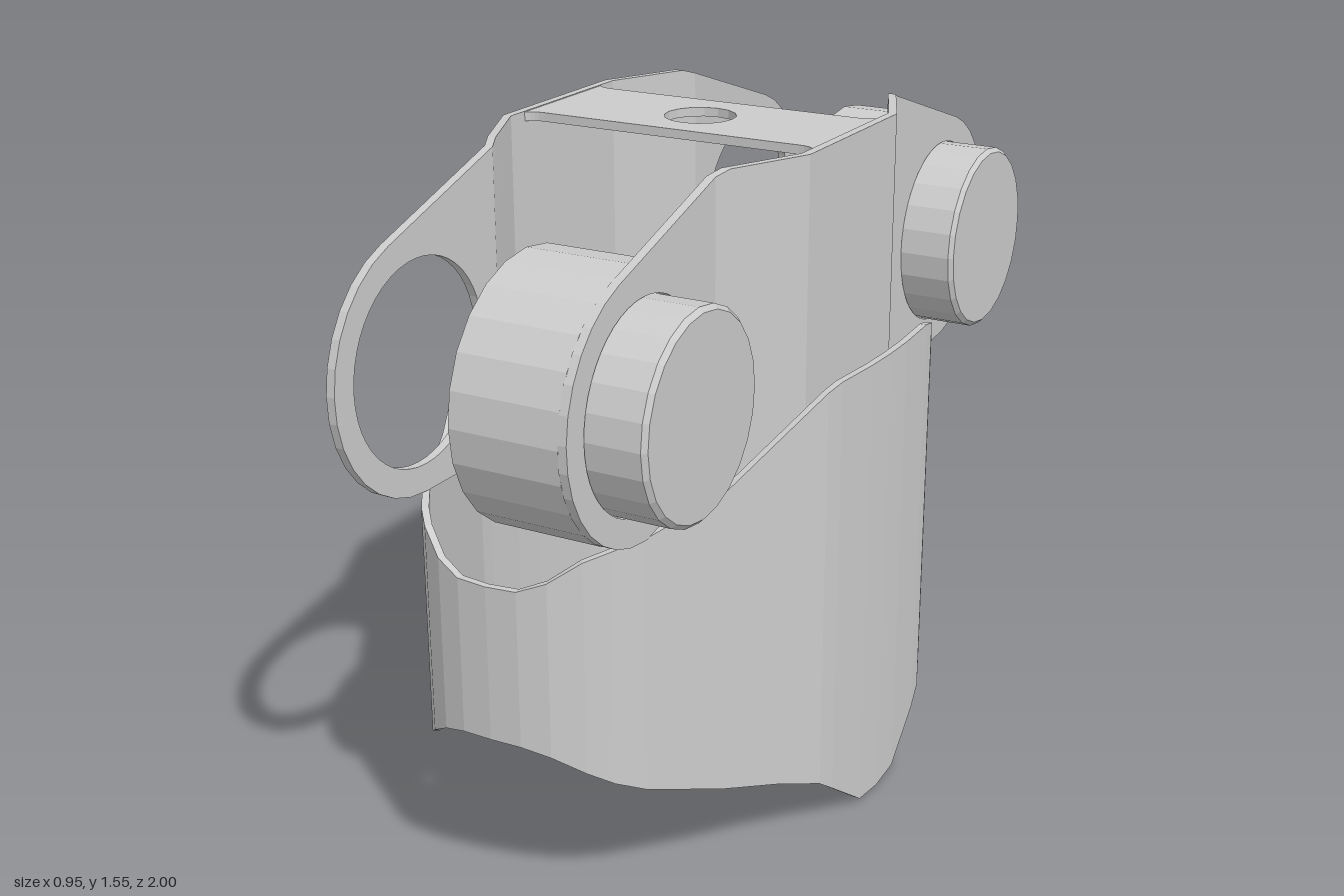
import * as THREE from 'three';

const material = new THREE.MeshStandardMaterial({ color: 0xcccccc, flatShading: true, side: THREE.DoubleSide });
const SHEET = 0.02;                                  // bracket thickness
const EAR = { z: 0.717, y: 1.148, r: 0.283, hole: 0.222 };
const FACETS = 24;

function addMesh(parent, geometry, name) {
  const mesh = new THREE.Mesh(geometry, material);
  mesh.name = name;
  parent.add(mesh);
  return mesh;
}

// Joins four-point sections (outer bottom, outer top, inner top, inner bottom) into a solid wall
function loft(sections, closed) {
  const pos = [];
  const n = sections.length;
  const quad = (a, b, c, d) => pos.push(...a, ...b, ...c, ...a, ...c, ...d);
  for (let i = 0; i < (closed ? n : n - 1); i++) {
    const s = sections[i], t = sections[(i + 1) % n];
    for (let j = 0; j < 4; j++) {
      const k = (j + 1) % 4;
      quad(s[j], t[j], t[k], s[k]);
    }
  }
  if (!closed) {
    const [a, b, c, d] = sections[0];
    quad(a, b, c, d);
    const [e, f, g, h] = sections[n - 1];
    quad(h, g, f, e);
  }
  const geometry = new THREE.BufferGeometry();
  geometry.setAttribute('position', new THREE.Float32BufferAttribute(pos, 3));
  geometry.computeVertexNormals();
  return geometry;
}

// Lower guard: a closed band whose top and bottom edges rise and fall
function guardGeometry() {
  // x, z, top, bottom for one quarter of the loop
  const quarter = [
    [0, 0.885, 0.77, 0.425], [0.07, 0.88, 0.772, 0.423], [0.13, 0.86, 0.795, 0.405],
    [0.19, 0.82, 0.838, 0.365], [0.23, 0.775, 0.853, 0.33], [0.27, 0.715, 0.865, 0.297],
    [0.348, 0.53, 0.91, 0.225], [0.41, 0.38, 1.0, 0.178], [0.455, 0.27, 1.065, 0.135],
    [0.463, 0.22, 1.075, 0.1], [0.473, 0.09, 1.075, 0.008], [0.475, 0, 1.075, 0],
  ];
  const half = [...quarter, ...quarter.slice(0, -1).reverse().map(([x, z, t, b]) => [x, -z, t, b])];
  const loop = [...half, ...half.slice(1, -1).reverse().map(([x, z, t, b]) => [-x, z, t, b])];
  const n = loop.length;
  const sections = loop.map(([x, z, top, bottom], i) => {
    const p = loop[(i + n - 1) % n], q = loop[(i + 1) % n];
    const dx = q[0] - p[0], dz = q[1] - p[1], len = Math.hypot(dx, dz);
    const ix = x + (dz / len) * 0.016, iz = z - (dx / len) * 0.016;
    return [[x, bottom, z], [x, top, z], [ix, top, iz], [ix, bottom, iz]];
  });
  return loft(sections, true);
}

// Bent middle of a bracket side
function sidePlateGeometry() {
  const half = [[0.275, 0.434, 1.539], [0.29, 0.4, 1.55], [0.375, 0.215, 1.55]];
  const path = [...half, ...half.slice().reverse().map(([x, z, t]) => [x, -z, t])];
  const low = EAR.y - EAR.r;
  return loft(path.map(([x, z, top]) => [
    [x, low, z], [x, top, z], [x - SHEET, top, z], [x - SHEET, low, z],
  ]), false);
}

// Flat ear with a round hole; end is +1 for the front, -1 for the back
function earGeometry(end) {
  const points = [new THREE.Vector2(end * 0.434, EAR.y - EAR.r)];
  const from = -Math.PI / 2, to = 1.255;
  for (let i = 0; i <= 14; i++) {
    const a = from + ((to - from) * i) / 14;
    points.push(new THREE.Vector2(end * (EAR.z + EAR.r * Math.cos(a)), EAR.y + EAR.r * Math.sin(a)));
  }
  points.push(new THREE.Vector2(end * 0.434, 1.539));
  const shape = new THREE.Shape(points);
  const hole = new THREE.Path();
  hole.absarc(end * EAR.z, EAR.y, EAR.hole, 0, Math.PI * 2, true);
  shape.holes.push(hole);
  const geometry = new THREE.ExtrudeGeometry(shape, { depth: SHEET, bevelEnabled: false, curveSegments: FACETS });
  return geometry.rotateY(-Math.PI / 2).translate(0.275, 0, 0);
}

// Top bridge: strip with filleted corners and a round hole
function bridgeGeometry() {
  const w = 0.365, d = 0.145, r = 0.05;
  const shape = new THREE.Shape();
  shape.moveTo(-w, -d - r);
  shape.quadraticCurveTo(-w, -d, -w + r, -d);
  shape.lineTo(w - r, -d);
  shape.quadraticCurveTo(w, -d, w, -d - r);
  shape.lineTo(w, d + r);
  shape.quadraticCurveTo(w, d, w - r, d);
  shape.lineTo(-w + r, d);
  shape.quadraticCurveTo(-w, d, -w, d + r);
  shape.closePath();
  const hole = new THREE.Path();
  hole.absarc(0, 0, 0.08, 0, Math.PI * 2, true);
  shape.holes.push(hole);
  return new THREE.ExtrudeGeometry(shape, { depth: SHEET, bevelEnabled: false, curveSegments: 8 })
    .rotateX(-Math.PI / 2).translate(0, 1.528, 0);
}

// Stepped drum along x: wide body inside the bracket, narrow cap outside
function drumGeometry() {
  const profile = [
    [0, 0.012], [EAR.r, 0.012], [EAR.r, 0.256], [0.22, 0.256],
    [0.22, 0.395], [0.21, 0.405], [0, 0.405],
  ].map(([r, x]) => new THREE.Vector2(r, x));
  return new THREE.LatheGeometry(profile, FACETS).rotateZ(-Math.PI / 2);
}

export function createModel() {
  const model = new THREE.Group();
  model.name = 'bracketAssembly';

  addMesh(model, guardGeometry(), 'lowerGuard');

  const bracket = new THREE.Group();
  bracket.name = 'bracket';
  model.add(bracket);
  addMesh(bracket, bridgeGeometry(), 'topBridge');
  for (const side of ['left', 'right']) {
    const arm = new THREE.Group();
    arm.name = side + 'Arm';
    addMesh(arm, sidePlateGeometry(), side + 'SidePlate');
    for (const end of [1, -1]) addMesh(arm, earGeometry(end), side + 'Ear');
    if (side === 'right') arm.rotation.y = Math.PI;
    bracket.add(arm);
  }

  // Drums sit in the left arm only
  for (const end of [1, -1]) {
    addMesh(model, drumGeometry(), end > 0 ? 'frontDrum' : 'backDrum').position.set(0, EAR.y, end * EAR.z);
  }
  return model;
}
